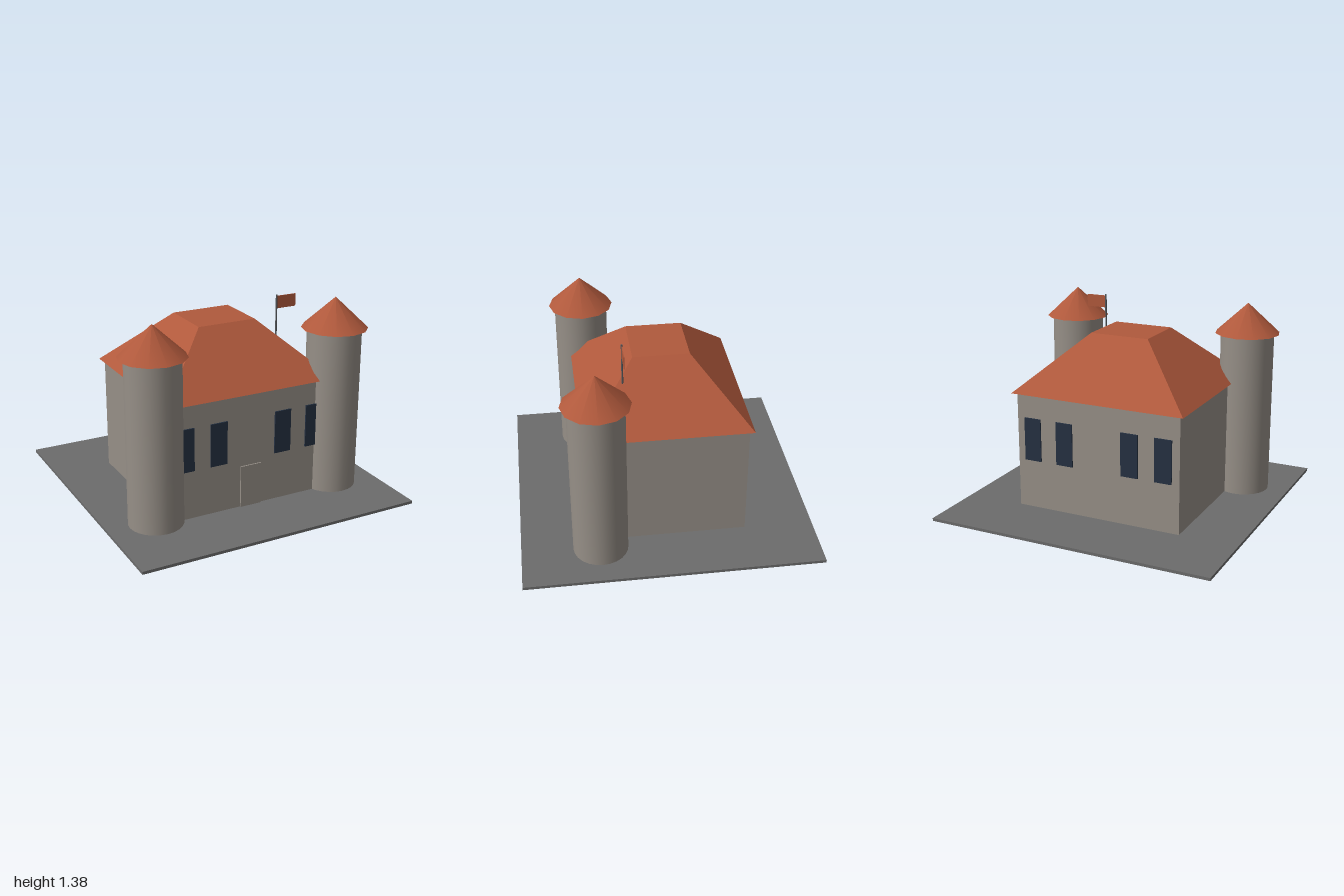
import * as THREE from 'three';

const mat = (name, color) => Object.assign(new THREE.MeshStandardMaterial({ color }), { name });

export function createModel() {
  const stone = mat('stone', 0x968f87);
  const tile = mat('roofTile', 0xb0593c);
  const paving = mat('paving', 0x6c6c6c);
  const glass = mat('darkGlass', 0x253142);
  const metal = mat('poleMetal', 0x55585c);

  const model = new THREE.Group();
  model.name = 'manor';

  const add = (name, geometry, material, x, y, z) => {
    const mesh = new THREE.Mesh(geometry, material);
    mesh.name = name;
    mesh.position.set(x, y, z);
    model.add(mesh);
    return mesh;
  };
  const box = (name, w, h, d, material, x, y, z) =>
    add(name, new THREE.BoxGeometry(w, h, d), material, x, y, z);

  // Ground slab and main building
  box('groundSlab', 2, 0.02, 2, paving, 0, 0.01, 0);
  box('walls', 1.19, 0.805, 1.06, stone, 0, 0.4225, 0);
  box('door', 0.155, 0.295, 0.02, stone, 0, 0.1675, 0.53);

  // Hipped roof with a flat top: a box whose upper corners are drawn inward
  const roof = new THREE.BoxGeometry(1.25, 0.38, 1.12);
  const p = roof.attributes.position;
  for (let i = 0; i < p.count; i++) {
    if (p.getY(i) > 0) p.setXYZ(i, Math.sign(p.getX(i)) * 0.21, 0.19, Math.sign(p.getZ(i)) * 0.19);
  }
  roof.computeVertexNormals();
  add('roof', roof, tile, 0, 1.015, 0);

  // Four windows on the front and four on the back
  for (const side of [1, -1]) {
    for (const x of [-0.48, -0.24, 0.24, 0.48]) {
      box(side > 0 ? 'frontWindow' : 'backWindow', 0.122, 0.3, 0.009, glass, x, 0.51, side * 0.5345);
    }
  }

  // Round corner towers with pointed caps
  for (const side of [1, -1]) {
    const name = side > 0 ? 'left' : 'right';
    add(name + 'Tower', new THREE.CylinderGeometry(0.185, 0.185, 1.14, 24), stone, side * 0.668, 0.59, 0.468);
    add(name + 'TowerRoof', new THREE.ConeGeometry(0.225, 0.21, 12), tile, side * 0.668, 1.262, 0.468);
  }

  // Flagpole and flag
  add('flagpole', new THREE.CylinderGeometry(0.006, 0.006, 0.295, 8), metal, 0.332, 1.2275, 0.268);
  box('flag', 0.142, 0.086, 0.005, tile, 0.407, 1.323, 0.268);

  return model;
}
